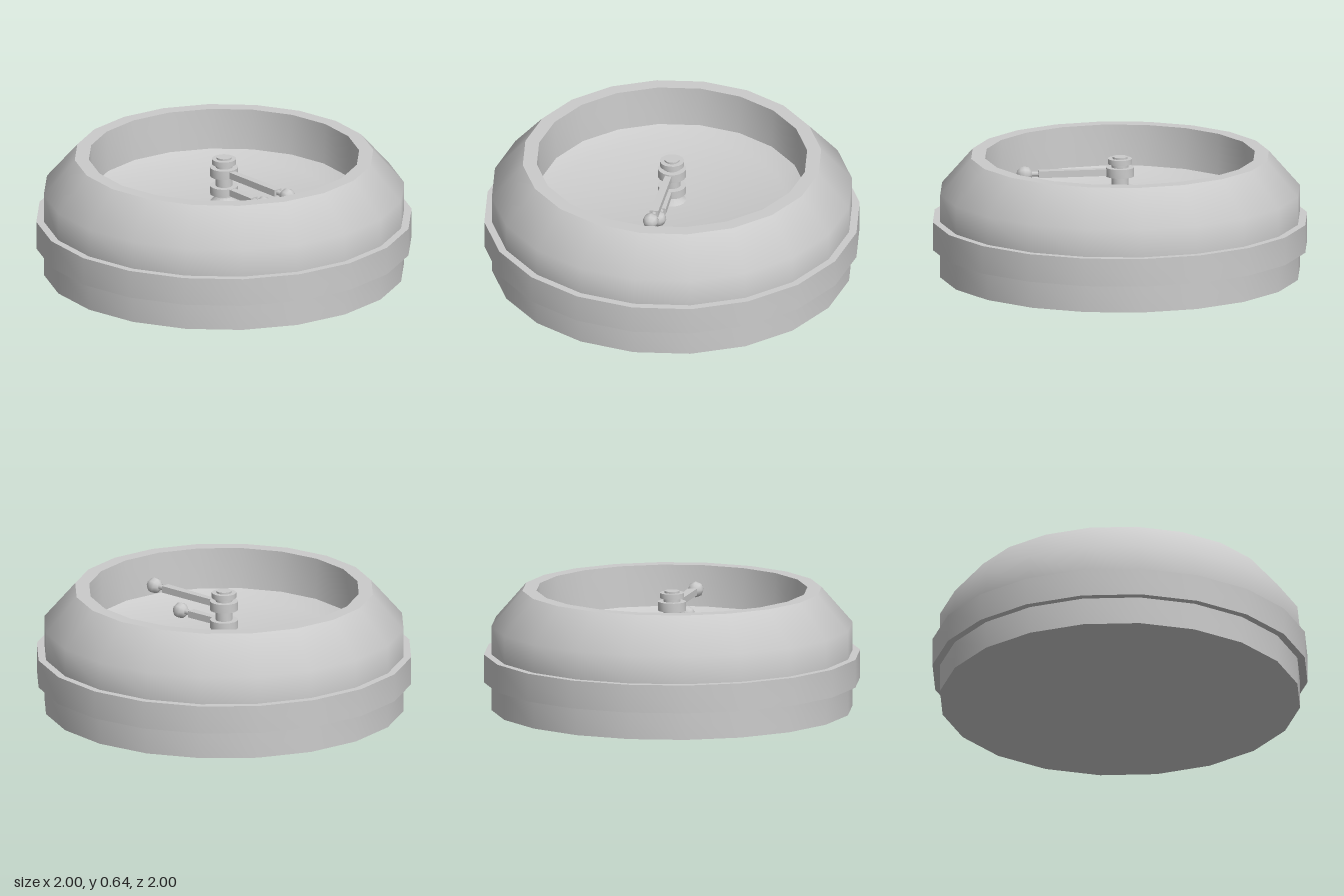
import * as THREE from 'three';
import { toCreasedNormals } from 'three/addons/utils/BufferGeometryUtils.js';

const material = new THREE.MeshStandardMaterial({ color: 0xcccccc });

function addMesh(parent, name, geometry) {
  const mesh = new THREE.Mesh(geometry, material);
  mesh.name = name;
  parent.add(mesh);
  return mesh;
}

// Turned part from [radius, height] pairs, with sharp corners kept
function turned(profile, sides) {
  const points = profile.map(([r, y]) => new THREE.Vector2(r, y));
  return toCreasedNormals(new THREE.LatheGeometry(points, sides), 0.785);
}

// Lever that widens toward its tip, with a thin neck and a ball at the end
function lever(name, y, ballZ) {
  const group = new THREE.Group();
  group.name = name;
  group.position.set(-0.005, y, 0);
  const start = 0.05, end = ballZ - 0.075;

  const shape = new THREE.Shape();
  shape.moveTo(-0.017, -start);
  shape.lineTo(0.017, -start);
  shape.lineTo(0.024, -end);
  shape.lineTo(-0.024, -end);
  const bar = new THREE.ExtrudeGeometry(shape, { depth: 0.036, bevelEnabled: false });
  bar.rotateX(-Math.PI / 2).translate(0, -0.018, 0);
  addMesh(group, 'leverBar', bar);

  const neck = new THREE.CylinderGeometry(0.014, 0.014, 0.06, 8);
  neck.rotateX(Math.PI / 2).translate(0, 0, end + 0.025);
  addMesh(group, 'leverNeck', neck);

  const ball = new THREE.SphereGeometry(0.043, 8, 6);
  ball.rotateX(Math.PI / 2).translate(0, 0, ballZ);
  addMesh(group, 'leverBall', ball);
  return group;
}

export function createModel() {
  const model = new THREE.Group();
  model.name = 'recessedRoundHousing';

  // Housing with a belt, sloped shoulder and dished recess
  addMesh(model, 'housing', turned([
    [0, 0], [0.96, 0], [0.96, 0.15], [1, 0.15], [1, 0.3], [0.96, 0.3],
    [0.96, 0.45], [0.795, 0.64], [0.72, 0.64], [0.71, 0.42], [0.61, 0.38], [0, 0.38],
  ], 20));

  // Central post with a flared foot, two lever collars and a stepped cap
  addMesh(model, 'centrePost', turned([
    [0.075, 0.38], [0.045, 0.41], [0.045, 0.425],
    [0.075, 0.425], [0.075, 0.47], [0.045, 0.47], [0.045, 0.525],
    [0.075, 0.525], [0.075, 0.573], [0.045, 0.573], [0.045, 0.592],
    [0.065, 0.592], [0.065, 0.62], [0.04, 0.62], [0.04, 0.63], [0, 0.63],
  ], 16));

  model.add(lever('lowerLever', 0.45, 0.32));
  model.add(lever('upperLever', 0.547, 0.51));
  return model;
}
